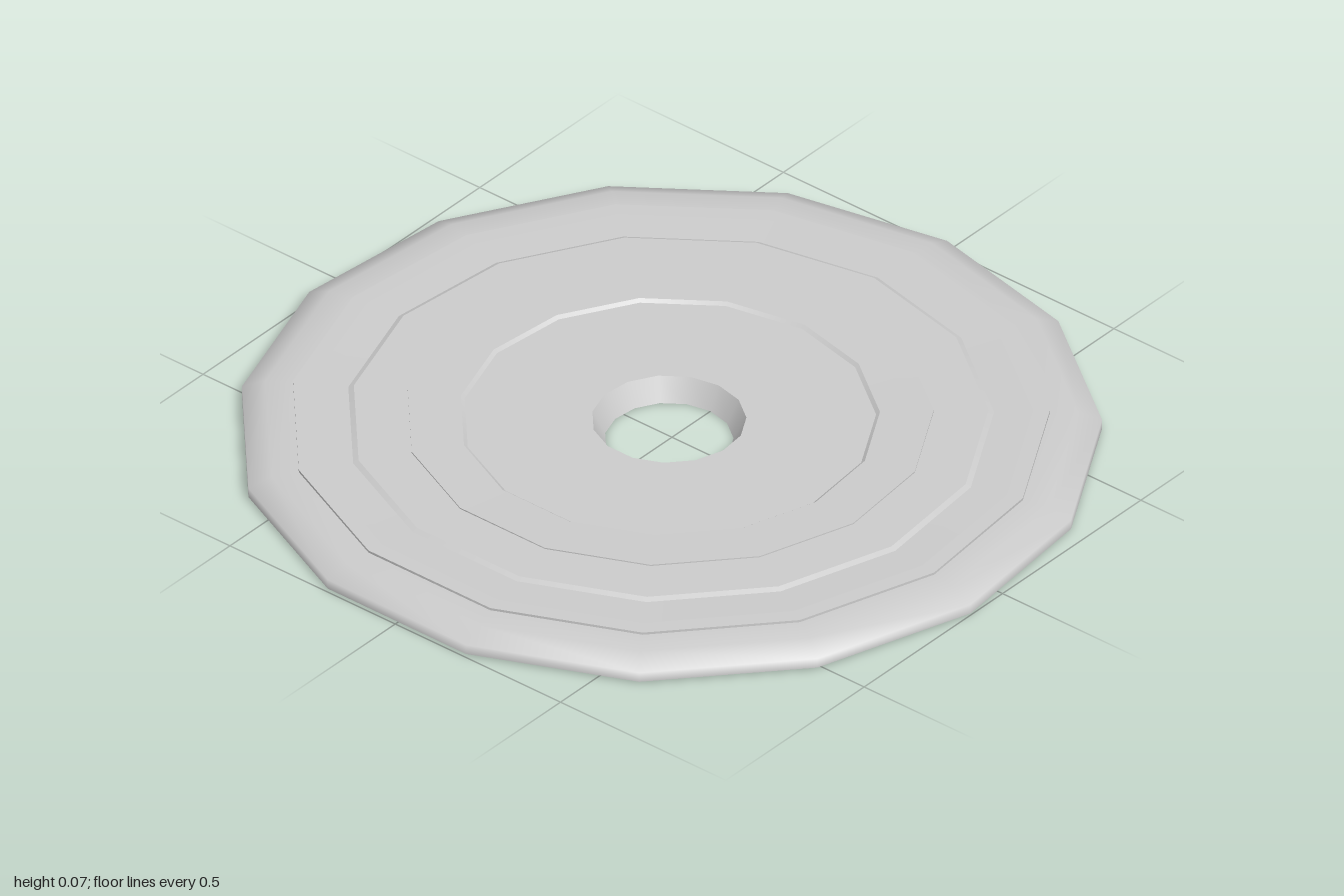
import * as THREE from 'three';

const SIDES = 15;

export function createModel() {
  const model = new THREE.Group();
  model.name = 'disc';
  const material = new THREE.MeshStandardMaterial({ color: 0xcccccc });

  // Each band is smooth in itself and meets its neighbours at a sharp edge.
  // Points are [radius, height], from the rim over the top and down the hole.
  const bands = [
    ['roundedRim', [[1.0055, 0.005], [1.0055, 0.03], [0.95, 0.053], [0.885, 0.055]]],
    ['outerStep', [[0.885, 0.055], [0.885, 0.061]]],
    ['outerRing', [[0.885, 0.061], [0.845, 0.061]]],
    ['trackRing', [[0.845, 0.061], [0.755, 0.058]]],
    ['trackStep', [[0.755, 0.058], [0.742, 0.064]]],
    ['middleRing', [[0.742, 0.064], [0.615, 0.064]]],
    ['ridgeStep', [[0.615, 0.064], [0.615, 0.067]]],
    ['ridgeRing', [[0.615, 0.067], [0.49, 0.065]]],
    ['centreStep', [[0.49, 0.065], [0.481, 0.058]]],
    ['centrePlate', [[0.481, 0.058], [0.18, 0.057]]],
    ['holeWall', [[0.18, 0.057], [0.15, 0]]],
    ['underside', [[0.15, 0], [1.0055, 0.005]]],
  ];

  for (const [name, profile] of bands) {
    const points = profile.map(([r, y]) => new THREE.Vector2(r, y));
    // start the ring with a corner on +x
    const geometry = new THREE.LatheGeometry(points, SIDES, Math.PI / 2);
    const mesh = new THREE.Mesh(geometry, material);
    mesh.name = name;
    mesh.position.x = -0.011; // centres the odd-sided outline
    model.add(mesh);
  }
  return model;
}
